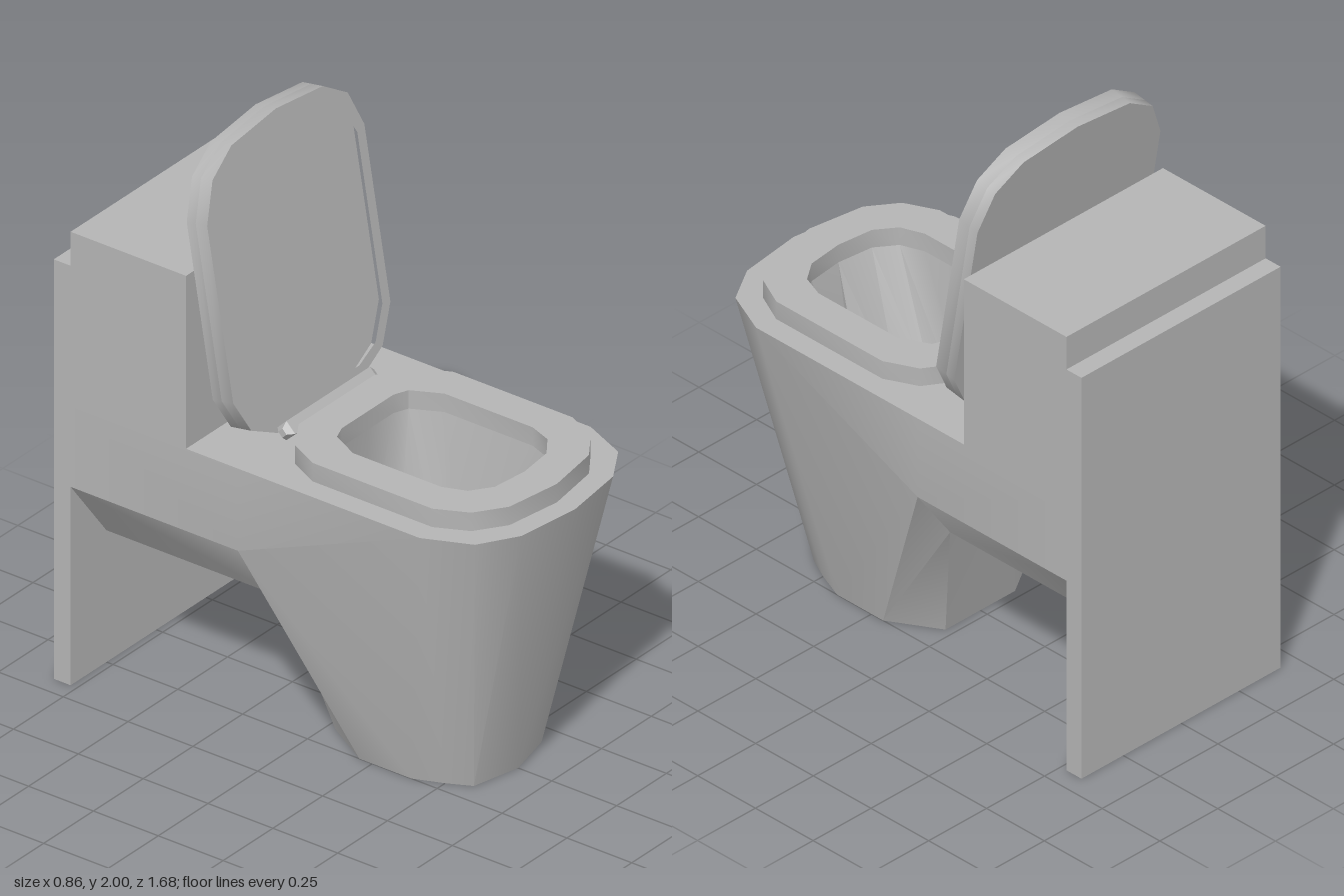
import * as THREE from 'three';
import { toCreasedNormals } from 'three/addons/utils/BufferGeometryUtils.js';

const CREASE = 0.62;

// Full symmetric loop from the +x half of an outline
function loop(half) {
  const mirrored = half.filter(p => p[0] > 0).reverse().map(([x, v]) => [-x, v]);
  return [...half, ...mirrored].map(([x, v]) => new THREE.Vector2(x, v));
}

// Shape with optional hole; flip turns z into shape-space -y
function outline(half, hole, flip) {
  const f = h => (flip ? h.map(([x, z]) => [x, -z]) : h);
  const shape = new THREE.Shape(loop(f(half)));
  if (hole) shape.holes.push(new THREE.Path(loop(f(hole))));
  return shape;
}

const flat = (half, hole, y) =>
  new THREE.ShapeGeometry(outline(half, hole, true)).rotateX(-Math.PI / 2).translate(0, y, 0);

const slab = (shape, depth) => new THREE.ExtrudeGeometry(shape, { depth, bevelEnabled: false });

// Surface from convex faces on the +x side, mirrored to -x
function mirroredFaces(faces) {
  const pos = [];
  for (const f of faces) {
    for (let i = 1; i < f.length - 1; i++) {
      const [a, b, c] = [f[0], f[i], f[i + 1]];
      pos.push(...a, ...b, ...c);
      for (const [x, y, z] of [a, c, b]) pos.push(-x, y, z);
    }
  }
  const g = new THREE.BufferGeometry();
  g.setAttribute('position', new THREE.Float32BufferAttribute(pos, 3));
  g.computeVertexNormals();
  return toCreasedNormals(g, CREASE);
}

export function createModel() {
  const ceramic = new THREE.MeshStandardMaterial({ color: 0xb4b4b4 });
  ceramic.name = 'grey ceramic';
  const teal = new THREE.MeshStandardMaterial({ color: 0x7fa3a4 });
  teal.name = 'teal water';

  const model = new THREE.Group();
  model.name = 'toilet';
  const add = (name, geometry, material = ceramic, parent = model) => {
    const mesh = new THREE.Mesh(geometry, material);
    mesh.name = name;
    parent.add(mesh);
    return mesh;
  };
  const box = (name, w, y0, y1, z0, z1) =>
    add(name, new THREE.BoxGeometry(w, y1 - y0, z1 - z0).translate(0, (y0 + y1) / 2, (z0 + z1) / 2));

  // Wall panel and cistern
  box('wallPanel', 0.86, 0, 1.48, -0.84, -0.775);
  box('cistern', 0.86, 0.99, 1.6, -0.775, -0.33);

  // Half outlines as [x, z], front to back
  const rim = [[0, 0.84], [0.23, 0.81], [0.36, 0.73], [0.43, 0.57], [0.43, -0.13], [0.43, -0.775]];
  const foot = [[0, 0.62], [0.17, 0.58], [0.21, 0.5], [0.25, 0.4], [0.25, 0.2], [0.15, 0.03]];
  const opening = [[0, 0.645], [0.13, 0.63], [0.2, 0.58], [0.23, 0.5],
    [0.23, 0.16], [0.18, 0.06], [0.13, 0.04], [0, 0.04]];
  const pool = [[0, 0.54], [0.09, 0.47], [0.16, 0.39], [0.185, 0.31],
    [0.185, 0.26], [0.16, 0.19], [0.09, 0.09], [0, 0.04]];
  const at = (list, y) => list.map(([x, z]) => [x, y, z]);

  // Pedestal tapering to the foot, with the arm running back to the wall panel
  const U = at(rim, 0.99);
  const L = at(foot, 0);
  const sideFront = [0.43, 0.7, -0.13], sideBack = [0.43, 0.7, -0.775];
  const armFront = [0.25, 0.465, -0.09], armBack = [0.25, 0.465, -0.775];
  const mid = ([, y, z]) => [0, y, z];
  const faces = [0, 1, 2].map(i => [L[i], L[i + 1], U[i + 1], U[i]]);
  faces.push(
    [L[3], L[4], sideFront, U[3]],
    [L[4], L[5], armFront, sideFront],
    [U[3], sideFront, U[4]],
    [sideFront, sideBack, U[5], U[4]],
    [armFront, armBack, sideBack, sideFront],
    [L[5], mid(L[5]), mid(armFront), armFront],
    [armFront, mid(armFront), mid(armBack), armBack],
    [mid(L[5]), ...L.slice().reverse()],
  );
  add('pedestal', mirroredFaces(faces));
  add('deck', flat([...rim, [0, -0.775]], opening, 0.99));

  // Bowl interior, water and drain spot
  const top = at(opening, 0.99), low = at(pool, 0.55);
  add('bowl', mirroredFaces(top.slice(1).map((p, i) => [top[i], p, low[i + 1], low[i]])));
  add('water', flat(pool, null, 0.55), teal);
  add('drain', new THREE.CircleGeometry(0.05, 8, Math.PI / 8)
    .rotateX(-Math.PI / 2).translate(0, 0.554, 0.2));

  // Seat ring
  const seat = [[0, 0.77], [0.2, 0.74], [0.3, 0.67], [0.353, 0.56],
    [0.353, 0.1], [0.3, -0.01], [0.19, -0.08], [0, -0.08]];
  add('seat', toCreasedNormals(
    slab(outline(seat, opening, true), 0.065).rotateX(-Math.PI / 2).translate(0, 0.99, 0), CREASE));

  // Hinge bar with tapered ends
  const bar = [[0, -0.23], [0.016, -0.23], [0.034, -0.21], [0.034, 0.21], [0.016, 0.23], [0, 0.23]]
    .map(p => new THREE.Vector2(...p));
  const hinge = new THREE.LatheGeometry(bar, 4).rotateZ(Math.PI / 2).translate(0, 1.03, -0.112);
  add('hinge', toCreasedNormals(hinge, 0.3));

  // Raised lid: rim frame plus recessed back panel, leaning backwards
  const lid = new THREE.Group();
  lid.name = 'lid';
  lid.position.set(0, 1.01, -0.145);
  lid.rotation.x = -0.168;
  model.add(lid);
  const lidEdge = [[0, 1.005], [0.23, 0.98], [0.34, 0.91], [0.395, 0.78],
    [0.395, 0.18], [0.33, 0.06], [0.21, 0], [0, 0]];
  const lidInner = [[0, 0.96], [0.205, 0.935], [0.3, 0.875], [0.357, 0.77],
    [0.357, 0.19], [0.3, 0.085], [0.21, 0.045], [0, 0.045]];
  add('lidRim', toCreasedNormals(
    slab(outline(lidEdge, lidInner), 0.045).translate(0, 0, -0.045), CREASE), ceramic, lid);
  add('lidPanel', toCreasedNormals(
    slab(outline(lidEdge), 0.035).translate(0, 0, -0.08), CREASE), ceramic, lid);

  return model;
}
